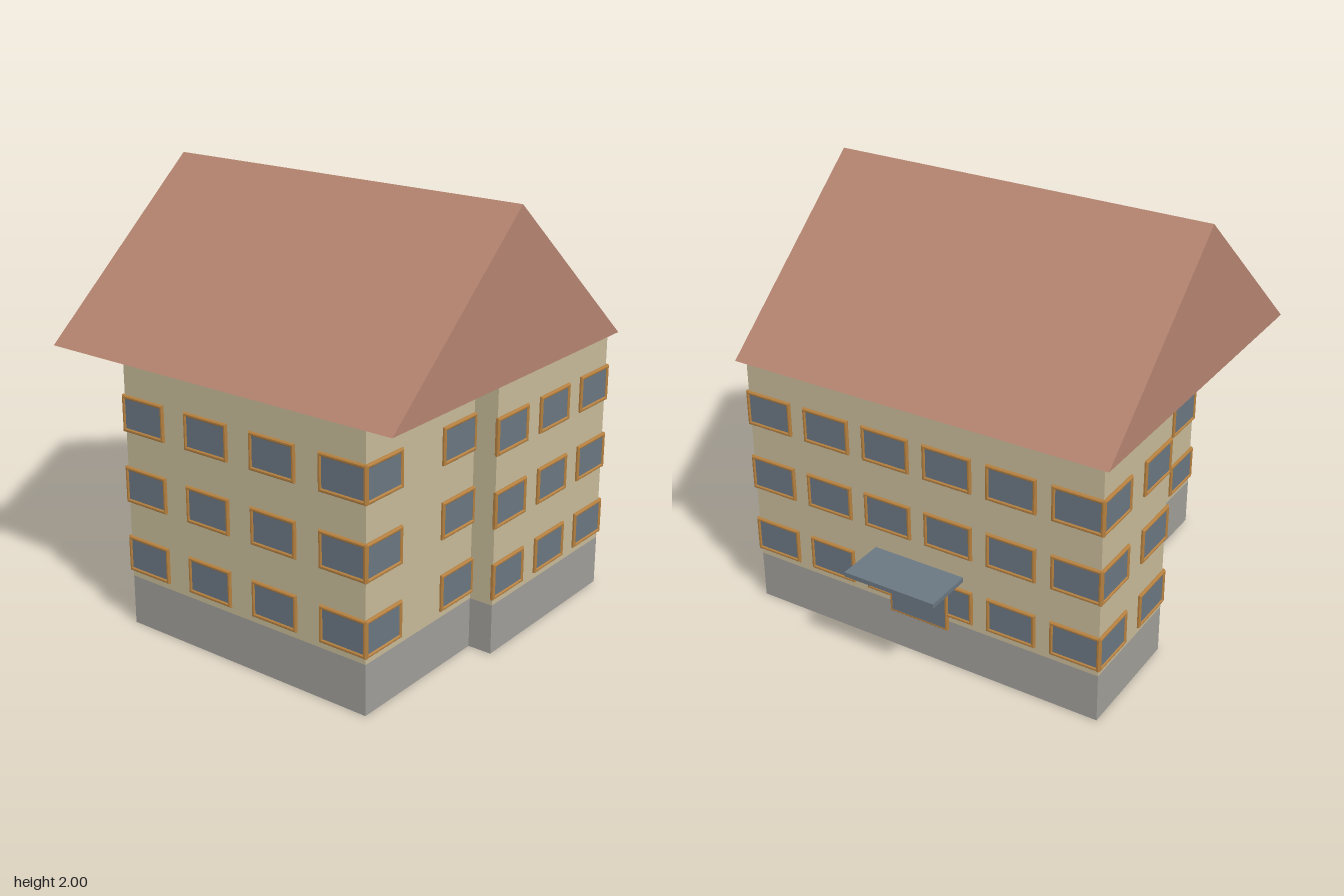
import * as THREE from 'three';

const mat = (name, color) => {
  const m = new THREE.MeshStandardMaterial({ color });
  m.name = name;
  return m;
};

export function createModel() {
  const house = new THREE.Group();
  house.name = 'house';
  const plaster = mat('plaster', 0xc6b998);
  const stone = mat('stone', 0xa09d98);
  const tile = mat('roofTile', 0xb58470);
  const glass = mat('blueGreyGlass', 0x6a7681);
  const wood = mat('wood', 0xb5803f);

  const add = (parent, name, geometry, material, x = 0, y = 0, z = 0) => {
    const mesh = new THREE.Mesh(geometry, material);
    mesh.name = name;
    mesh.position.set(x, y, z);
    parent.add(mesh);
    return mesh;
  };

  // Stepped footprint as x, z corners, raised into plinth and walls
  const plan = [
    [-0.535, 0.93], [0.79, 0.93], [0.79, 0.18], [0.905, 0.18], [0.905, -0.73], [-0.905, -0.73],
    [-0.905, -0.14], [-0.55, -0.14], [-0.55, 0], [-0.45, 0], [-0.45, 0.39], [-0.535, 0.39],
  ];
  const footprint = new THREE.Shape(plan.map(([x, z]) => new THREE.Vector2(x, -z)));
  const storey = (name, y0, y1, material) => {
    const g = new THREE.ExtrudeGeometry(footprint, { depth: y1 - y0, bevelEnabled: false });
    g.rotateX(-Math.PI / 2);
    add(house, name, g, material, 0, y0, 0);
  };
  storey('plinth', 0, 0.235, stone);
  storey('walls', 0.235, 1.26, plaster);

  // Gable roof: triangle in z, y extruded along x
  const gable = new THREE.Shape([
    new THREE.Vector2(-0.965, 1.258), new THREE.Vector2(0.765, 1.258), new THREE.Vector2(-0.1, 2),
  ]);
  const roof = new THREE.ExtrudeGeometry(gable, { depth: 1.88, bevelEnabled: false });
  roof.translate(0, 0, -0.94);
  roof.rotateY(Math.PI / 2);
  add(house, 'roof', roof, tile);

  // Bevelled frame with an opening, back face on z = 0
  const rect = (w, h, Type) => new Type([
    new THREE.Vector2(-w / 2, -h / 2), new THREE.Vector2(w / 2, -h / 2),
    new THREE.Vector2(w / 2, h / 2), new THREE.Vector2(-w / 2, h / 2),
  ]);
  const frameGeometry = (w, h) => {
    const bevel = 0.005;
    const outline = rect(w - 2 * bevel, h - 2 * bevel, THREE.Shape);
    outline.holes.push(rect(w - 0.024, h - 0.024, THREE.Path));
    return new THREE.ExtrudeGeometry(outline, {
      depth: 0.01, bevelSize: bevel, bevelThickness: bevel, bevelSegments: 1,
    }).translate(0, 0, -0.002);
  };
  const W = 0.245, H = 0.17;
  const windowFrame = frameGeometry(W, H);
  const windowPane = new THREE.BoxGeometry(W - 0.014, H - 0.014, 0.008);

  // Rows of windows: outward angle, fixed coordinate, start and end along the wall, count
  const rows = [
    { turn: 0, at: 0.93, from: -0.535, to: 0.79, count: 4 },
    { turn: Math.PI, at: -0.73, from: -0.905, to: 0.905, count: 6 },
    { turn: Math.PI / 2, at: 0.79, from: 0.18, to: 0.93, count: 2 },
    { turn: Math.PI / 2, at: 0.905, from: -0.73, to: 0.18, count: 3 },
    { turn: -Math.PI / 2, at: -0.905, from: -0.73, to: -0.14, count: 2 },
    { turn: -Math.PI / 2, at: -0.535, from: 0.39, to: 0.93, count: 2 },
  ];
  for (const { turn, at, from, to, count } of rows) {
    const facesZ = Math.abs(Math.cos(turn)) > 0.5;
    const inset = W / 2 - 0.01;
    for (let i = 0; i < count; i++) {
      const along = THREE.MathUtils.lerp(from + inset, to - inset, i / (count - 1));
      for (const y of [0.35, 0.685, 1.02]) {
        const win = new THREE.Group();
        win.name = 'window';
        win.position.set(facesZ ? along : at, y, facesZ ? at : along);
        win.rotation.y = turn;
        add(win, 'windowFrame', windowFrame, wood);
        add(win, 'windowPane', windowPane, glass, 0, 0, 0.003);
        house.add(win);
      }
    }
  }

  // Entrance at the back, under a flat canopy
  const door = new THREE.Group();
  door.name = 'entrance';
  door.position.set(0, 0.325, -0.733);
  door.rotation.y = Math.PI;
  add(door, 'doorFrame', frameGeometry(0.31, 0.27), wood);
  add(door, 'doorPanel', new THREE.BoxGeometry(0.296, 0.256, 0.009), glass, 0, 0, 0.008);
  house.add(door);
  add(house, 'canopy', new THREE.BoxGeometry(0.465, 0.022, 0.24), glass, 0, 0.485, -0.845);

  return house;
}
